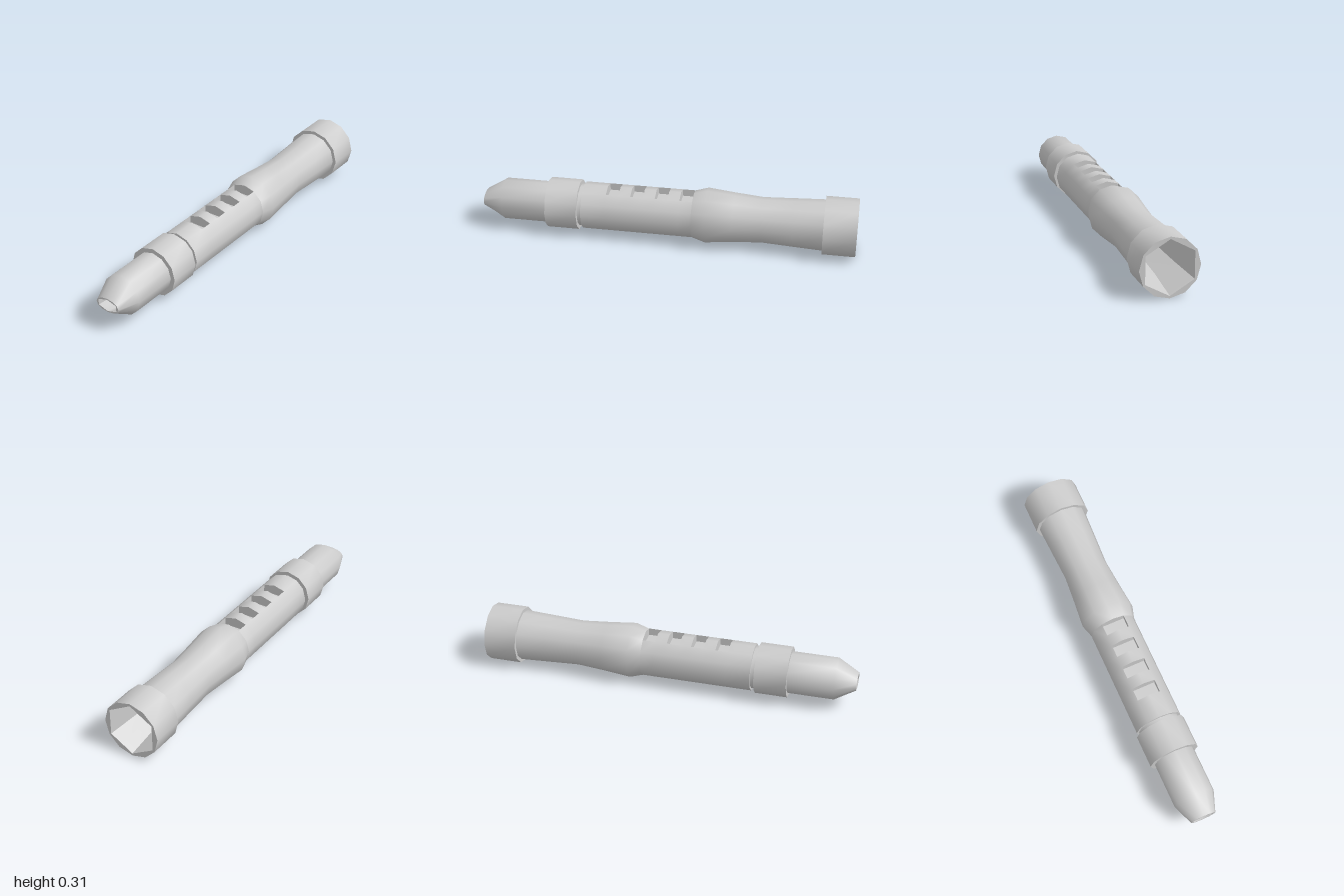
import * as THREE from 'three';
import { toCreasedNormals } from 'three/addons/utils/BufferGeometryUtils.js';

const SIDES = 12, CY = 0.154;
const HOLES = [0, 1, 2, 3].map(i => [-0.135 + i * 0.131, -0.067 + i * 0.131]);
const BODY_R = 0.125;

function part(name, pos, index, crease) {
  const g = new THREE.BufferGeometry();
  g.setAttribute('position', new THREE.Float32BufferAttribute(pos, 3));
  g.setIndex(index);
  const mesh = new THREE.Mesh(toCreasedNormals(g, crease),
    new THREE.MeshStandardMaterial({ color: 0xcccccc }));
  mesh.name = name;
  return mesh;
}

// Skin over twelve-point rings [z, rx, ry, hex]; hex rings have straight six-sided edges.
// skip(s, i) leaves out side i of band s.
function loft(name, rings, skip = () => false) {
  const pos = [], index = [];
  for (const [z, rx, ry = rx, hex] of rings) {
    for (let i = 0; i < SIDES; i++) {
      const a = i / SIDES * Math.PI * 2;
      const k = hex && i % 2 ? Math.cos(Math.PI / 6) : 1;
      pos.push(k * rx * Math.sin(a), CY + k * ry * Math.cos(a), z);
    }
  }
  for (let s = 0; s < rings.length - 1; s++) {
    for (let i = 0; i < SIDES; i++) {
      if (skip(s, i)) continue;
      const j = (i + 1) % SIDES;
      const a = s * SIDES + i, b = s * SIDES + j, c = b + SIDES, d = a + SIDES;
      index.push(a, c, b, a, d, c);
    }
  }
  return part(name, pos, index, 0.9);
}

// Open pocket: floor, two side walls and two peaked end walls
function pocket([z0, z1]) {
  const x = BODY_R * Math.sin(Math.PI / 6), y = CY + BODY_R * Math.cos(Math.PI / 6);
  const floor = 0.223;
  const outline = [[-x, y], [-x, floor], [x, floor], [x, y], [0, CY + BODY_R]];
  const pos = [z0, z1].flatMap(z => outline.flatMap(p => [...p, z]));
  const index = [];
  for (let k = 0; k < 3; k++) {
    index.push(k, k + 6, k + 1, k, k + 5, k + 6);
    index.push(0, k + 1, k + 2, 5, k + 7, k + 6);
  }
  return part('fingerHole', pos, index, 0.3);
}

export function createModel() {
  const model = new THREE.Group();
  model.name = 'pipe';

  model.add(loft('endCollar', [[-1, 0.142, 0.142, true], [-1, 0.154], [-0.826, 0.154], [-0.826, 0.13]]));
  model.add(loft('flaredHandle', [[-0.826, 0.135], [-0.67, 0.128], [-0.5, 0.12], [-0.35, 0.132],
    [-0.205, 0.146], [-0.135, BODY_R]]));

  // Body, with the two top sides left out at each finger hole
  const bodyRings = HOLES.flatMap(([a, b]) => [[a, BODY_R], [b, BODY_R]]);
  bodyRings.push([0.455, BODY_R], [0.455, 0.108]);
  model.add(loft('body', bodyRings,
    (s, i) => s < 2 * HOLES.length && s % 2 === 0 && (i === 0 || i === SIDES - 1)));
  HOLES.forEach(h => model.add(pocket(h)));

  model.add(loft('groove', [[0.455, 0.112], [0.477, 0.112]]));
  model.add(loft('ring', [[0.477, 0.108], [0.477, 0.134], [0.648, 0.134], [0.648, 0.108]]));

  // Mouthpiece narrows to a flattened tip
  model.add(loft('mouthpiece', [[0.648, 0.11], [0.89, 0.11], [1, 0.068, 0.038], [1, 0.063, 0.033, true]]));

  // Six-sided bore running the whole length, facing inwards
  model.add(loft('bore', [[1, 0.063, 0.033, true], [0.88, 0.063, 0.06, true], [-0.2, 0.066, 0.066, true],
    [-0.8, 0.11, 0.11, true], [-1, 0.142, 0.142, true]]));

  return model;
}
